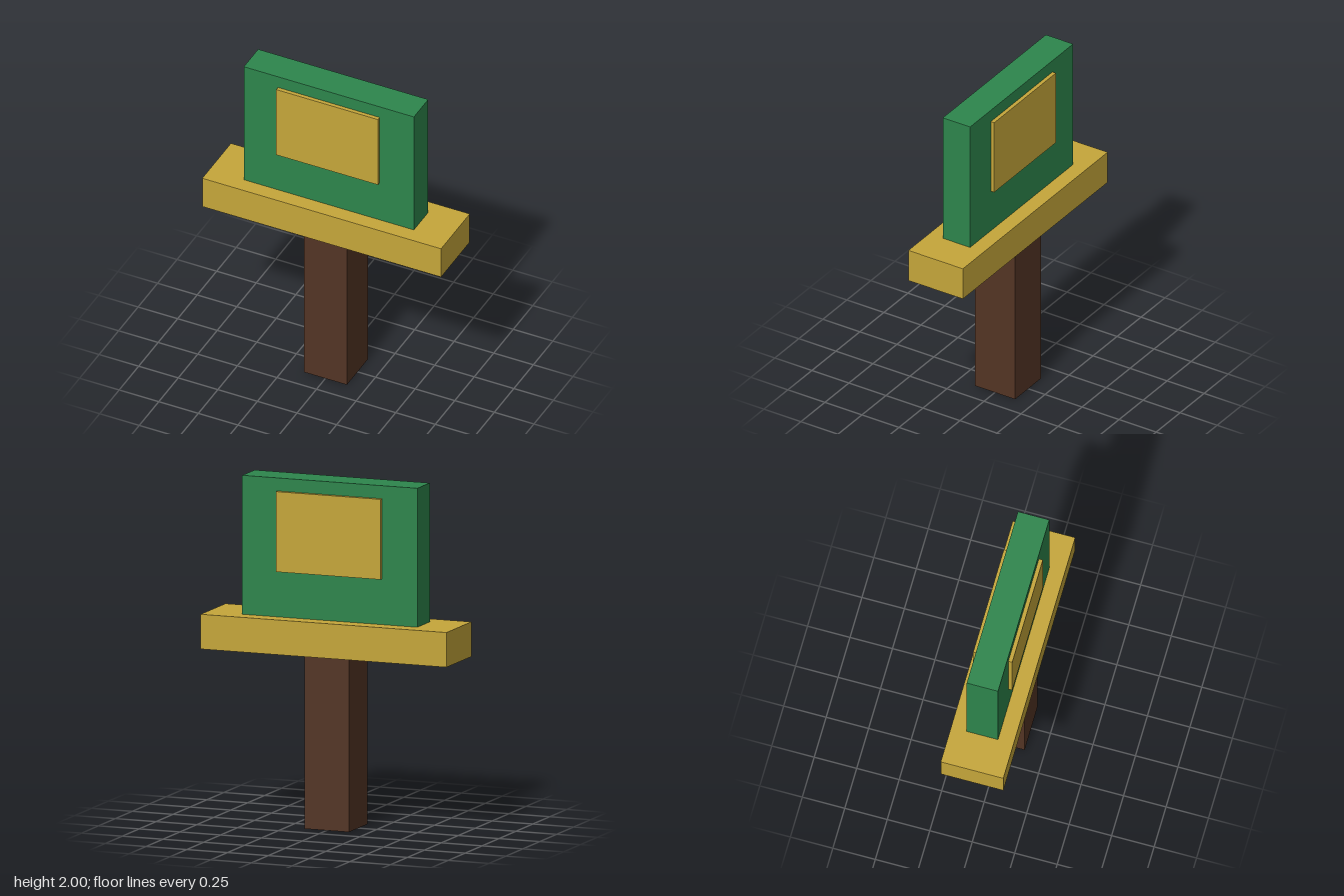
import * as THREE from 'three';

export function createModel() {
  const material = (name, color) => {
    const m = new THREE.MeshStandardMaterial({ color });
    m.name = name;
    return m;
  };
  const brown = material('brown', 0x533424);
  const gold = material('gold', 0xc5a63a);
  const green = material('green', 0x2d854c);

  const model = new THREE.Group();
  model.name = 'signPost';

  // Box centred on x, spanning bottom to top
  const addBox = (name, mat, width, bottom, top, depth, z = 0) => {
    const mesh = new THREE.Mesh(new THREE.BoxGeometry(width, top - bottom, depth), mat);
    mesh.name = name;
    mesh.position.set(0, (bottom + top) / 2, z);
    model.add(mesh);
  };

  // Square post, crossbeam and upright board
  addBox('post', brown, 0.272, 0, 1, 0.272);
  addBox('crossbeam', gold, 1.508, 1, 1.2, 0.368);
  addBox('board', green, 1.074, 1.2, 2, 0.184);

  // Raised panels on both faces of the board
  for (const side of [1, -1]) {
    addBox(side > 0 ? 'frontPanel' : 'backPanel', gold, 0.642, 1.463, 1.925, 0.024, side * 0.103);
  }

  return model;
}
